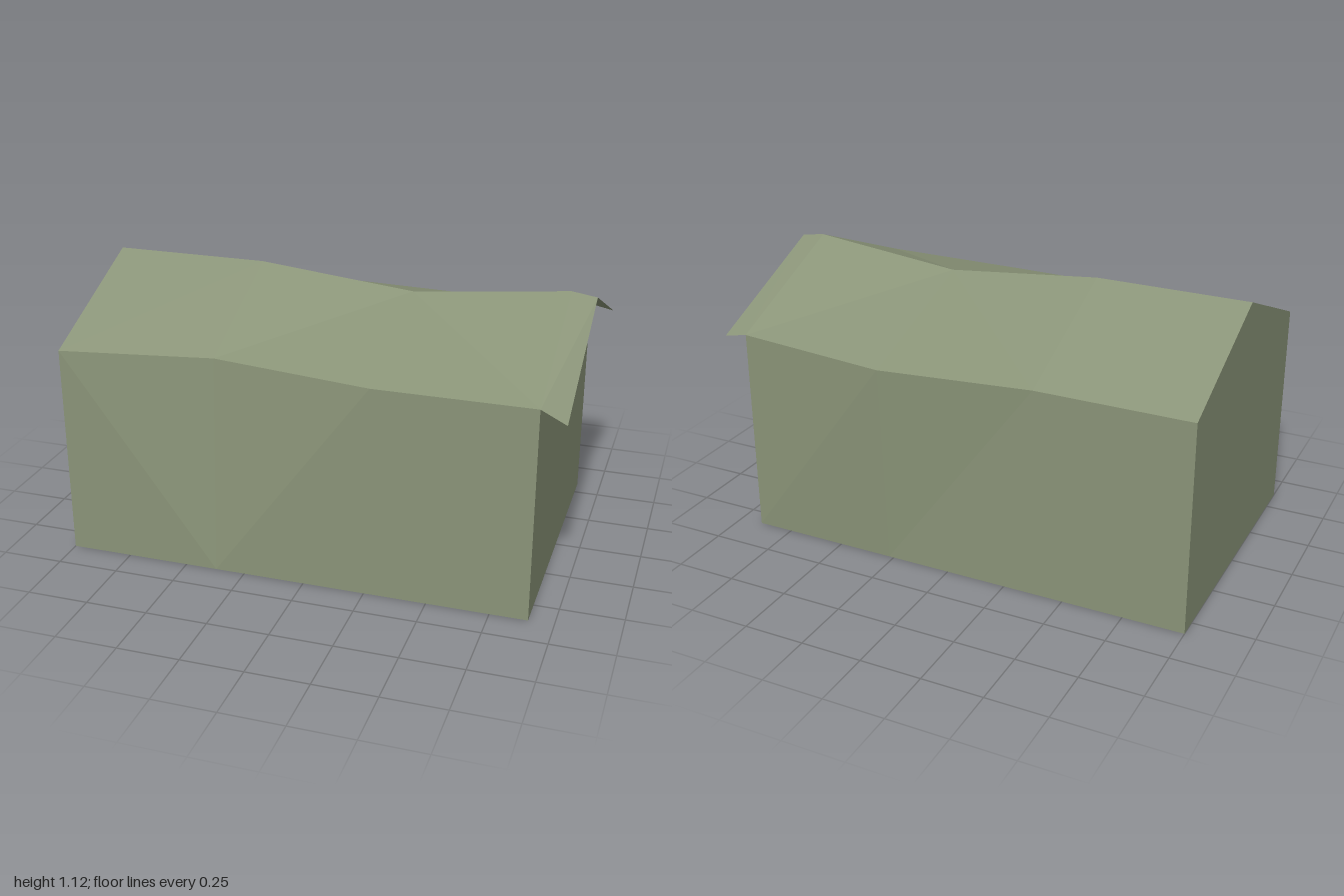
import * as THREE from 'three';

const FRONT_Z = 0.615, BACK_Z = -0.58, RIDGE_Z = 0.015;

// Cross-sections along x: the last one is the end of the roof overhang
const xs = [-1, -0.37, 0.27, 0.9, 1];
const ridge = [1.115, 1.115, 1.05, 1.115, 1.1].map((y, i) => [xs[i], y, RIDGE_Z]);
const frontEave = [[0.87, FRONT_Z], [0.89, 0.555], [0.87, FRONT_Z], [0.87, FRONT_Z], [0.82, FRONT_Z]]
  .map((p, i) => [xs[i], ...p]);
const backEave = [[0.87, BACK_Z], [0.87, BACK_Z], [0.845, -0.618], [0.865, BACK_Z], [0.845, BACK_Z]]
  .map((p, i) => [xs[i], ...p]);
const frontBase = xs.slice(0, 4).map((x) => [x, 0, FRONT_Z]);
const backBase = xs.slice(0, 4).map((x) => [x, 0, BACK_Z]);

// Strip between an upper and a lower line; each mark tells how its quad is split:
// '/' joins lower i to upper i+1, '\' joins upper i to lower i+1
function strip(upper, lower, splits, facesBack = false) {
  const tris = [];
  [...splits].forEach((s, i) => {
    const a = lower[i], b = lower[i + 1], c = upper[i + 1], d = upper[i];
    const pair = s === '/' ? [[a, b, c], [a, c, d]] : [[a, b, d], [b, c, d]];
    pair.forEach((t) => tris.push(facesBack ? [t[0], t[2], t[1]] : t));
  });
  return tris;
}

// Flat polygon from a convex loop of corners
function fan(loop) {
  return loop.slice(2).map((p, i) => [loop[0], loop[i + 1], p]);
}

export function createModel() {
  const group = new THREE.Group();
  group.name = 'house';

  const sage = new THREE.MeshStandardMaterial({ color: 0x8a9478, flatShading: true, side: THREE.DoubleSide });
  sage.name = 'sage green';

  const add = (name, tris) => {
    const geo = new THREE.BufferGeometry();
    geo.setAttribute('position', new THREE.Float32BufferAttribute(tris.flat(2), 3));
    geo.computeVertexNormals();
    const mesh = new THREE.Mesh(geo, sage);
    mesh.name = name;
    group.add(mesh);
  };

  // Long walls, warped along the eaves
  add('frontWall', strip(frontEave, frontBase, '\\//'));
  add('backWall', strip(backEave, backBase, '\\\\\\', true));

  // Sagging roof with a thin overhang at the left end
  add('frontRoof', strip(ridge, frontEave, '//\\/'));
  add('backRoof', strip(ridge, backEave, '//\\/', true));

  // Gable ends
  const gable = (i) => [frontBase[i], backBase[i], backEave[i], ridge[i], frontEave[i]];
  add('leftGable', fan(gable(3)));
  add('rightGable', fan(gable(0).reverse()));

  // Floor
  add('floor', fan([frontBase[0], backBase[0], backBase[3], frontBase[3]]));

  return group;
}
